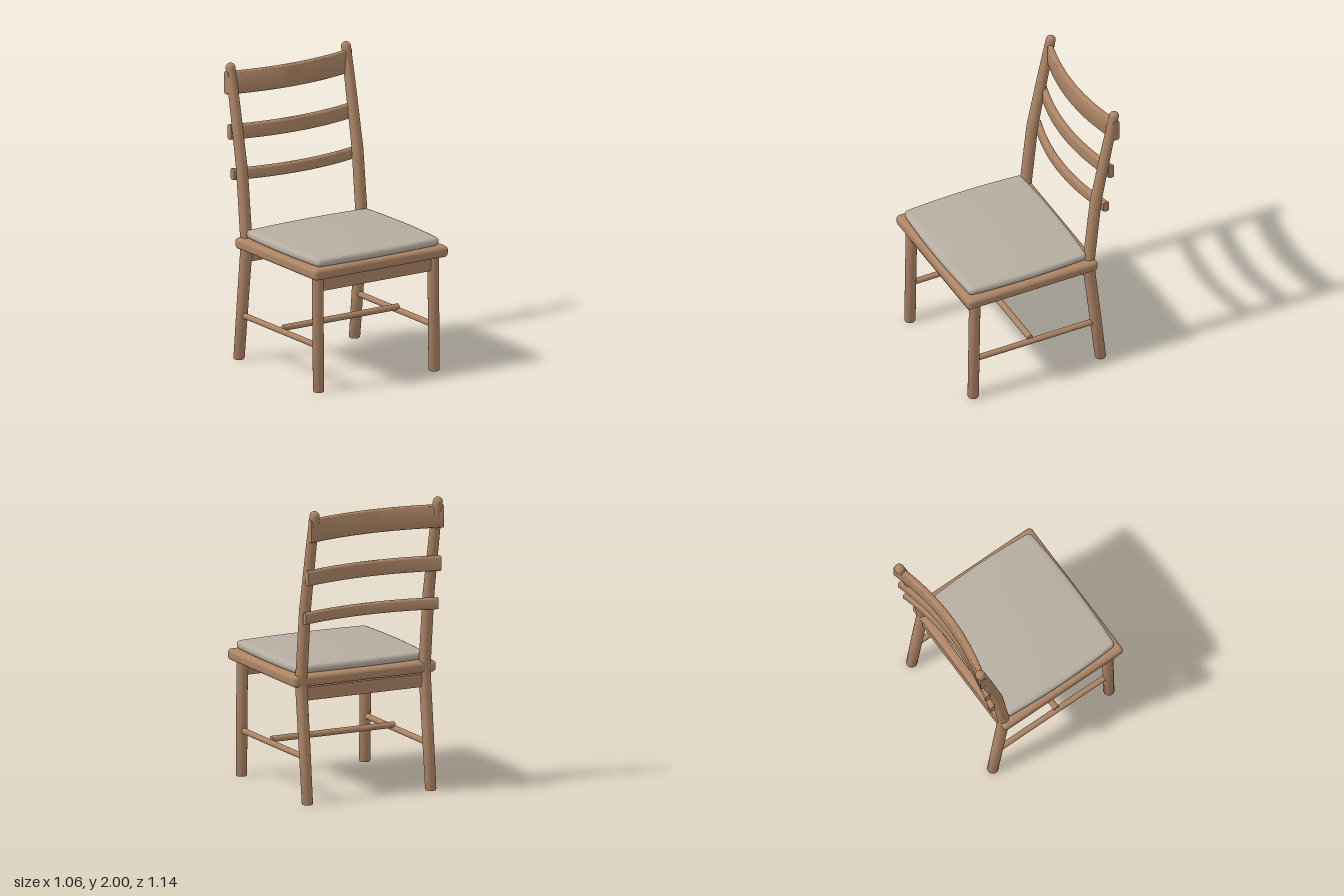
import * as THREE from 'three';
import { mergeVertices, toCreasedNormals } from 'three/addons/utils/BufferGeometryUtils.js';
import { RoundedBoxGeometry } from 'three/addons/geometries/RoundedBoxGeometry.js';

const wood = new THREE.MeshStandardMaterial({ color: 0xab8464 });
wood.name = 'wood';
const fabric = new THREE.MeshStandardMaterial({ color: 0xb6ada1 });
fabric.name = 'cushion fabric';

// Move every vertex of a geometry by a rule
function warp(geometry, rule) {
  const p = geometry.attributes.position;
  const v = new THREE.Vector3();
  for (let i = 0; i < p.count; i++) {
    rule(v.fromBufferAttribute(p, i));
    p.setXYZ(i, v.x, v.y, v.z);
  }
  return geometry;
}

// Turned post whose centre line leans in z; stations are [y, z, radius]
function turnedPost(stations, domed) {
  const at = (y, k) => {
    let i = 1;
    while (i < stations.length - 1 && y > stations[i][0]) i++;
    const a = stations[i - 1], b = stations[i];
    return a[k] + (b[k] - a[k]) * (y - a[0]) / (b[0] - a[0]);
  };
  const top = stations[stations.length - 1];
  const profile = [new THREE.Vector2(0, 0), new THREE.Vector2(0.034, 0)];
  for (const [y, , r] of stations) profile.push(new THREE.Vector2(r, Math.max(y, 0.008)));
  if (domed) {
    for (let i = 1; i <= 8; i++) {
      const a = i / 8 * Math.PI / 2;
      profile.push(new THREE.Vector2(i === 8 ? 0 : top[2] * Math.cos(a), top[0] + top[2] * Math.sin(a)));
    }
  } else profile.push(new THREE.Vector2(0, top[0]));
  const g = new THREE.LatheGeometry(profile, 28);
  warp(g, v => { v.z += at(Math.min(v.y, top[0]), 1); });
  return toCreasedNormals(g, 0.7);
}

// Rounded slat running along x, bowed forward in the middle
function bowedSlat(height, thick, halfLength, sag) {
  const w = thick / 2, h = height / 2, r = 0.015;
  const s = new THREE.Shape();
  s.moveTo(-w + r, -h);
  s.lineTo(w - r, -h);
  s.absarc(w - r, -h + r, r, -Math.PI / 2, 0);
  s.absarc(w - r, h - r, r, 0, Math.PI / 2);
  s.absarc(-w + r, h - r, r, Math.PI / 2, Math.PI);
  s.absarc(-w + r, -h + r, r, Math.PI, Math.PI * 1.5);
  const g = new THREE.ExtrudeGeometry(s, { depth: halfLength * 2, steps: 24, bevelEnabled: false, curveSegments: 5 });
  g.translate(0, 0, -halfLength).rotateY(Math.PI / 2);
  warp(g, v => { v.z -= sag * (v.x / halfLength) ** 2; });
  return toCreasedNormals(g, 0.6);
}

// Soft pad: rounded box with swollen sides and a domed top
function cushionGeometry() {
  const hx = 0.482, hy = 0.029, hz = 0.432, r = 0.028;
  const g = new THREE.BoxGeometry(2, 2, 2, 28, 8, 28);
  const inner = new THREE.Vector3(hx - r, hy - r, hz - r);
  const core = new THREE.Vector3();
  const ease = t => Math.sin(t * Math.PI / 2);
  warp(g, v => {
    v.set(ease(v.x) * hx, ease(v.y) * hy, ease(v.z) * hz);
    core.copy(v).clamp(inner.clone().negate(), inner);
    v.sub(core).setLength(r).add(core);
    const u = 1 - (v.x / hx) ** 2, w = 1 - (v.z / hz) ** 2;
    v.x *= 1 + 0.038 * w;
    v.z *= 1 + 0.042 * u;
    if (v.y > 0) v.y += 0.024 * u * w;
  });
  g.deleteAttribute('uv');
  g.deleteAttribute('normal');
  const m = mergeVertices(g, 1e-5);
  m.computeVertexNormals();
  return m;
}

export function createModel() {
  const chair = new THREE.Group();
  chair.name = 'chair';
  const add = (name, geometry, x, y, z, material = wood) => {
    const mesh = new THREE.Mesh(geometry, material);
    mesh.name = name;
    mesh.position.set(x, y, z);
    chair.add(mesh);
    return mesh;
  };

  // Seat frame and cushion
  add('seatFrame', new RoundedBoxGeometry(1.06, 0.076, 0.96, 5, 0.026), 0, 0.816, 0.093);
  add('cushion', cushionGeometry(), 0, 0.883, 0.105, fabric);

  // Legs, back posts and side stretchers, mirrored
  const frontLeg = turnedPost([[0, 0.502, 0.037], [0.8, 0.49, 0.038]], false);
  const backPost = turnedPost([
    [0, -0.437, 0.037], [0.4, -0.393, 0.039], [0.74, -0.354, 0.04], [0.8, -0.349, 0.04],
    [0.86, -0.354, 0.04], [1.26, -0.397, 0.039], [1.32, -0.405, 0.039], [1.38, -0.417, 0.038],
    [1.7, -0.481, 0.036], [1.967, -0.537, 0.033]], true);
  const sideBar = new THREE.CylinderGeometry(0.02, 0.02, 0.9, 20).rotateX(Math.PI / 2);
  for (const [side, s] of [['left', 1], ['right', -1]]) {
    add(side + 'FrontLeg', frontLeg, s * 0.457, 0, 0);
    add(side + 'BackPost', backPost, s * 0.457, 0, 0);
    add(side + 'Stretcher', sideBar, s * 0.457, 0.309, 0.047);
  }

  // Cross stretcher joining the side stretchers
  add('crossStretcher', new THREE.CylinderGeometry(0.021, 0.021, 0.91, 20).rotateZ(Math.PI / 2), 0, 0.334, 0.08);

  // Aprons under the seat
  const apron = new THREE.BoxGeometry(0.9, 0.088, 0.042);
  add('frontApron', apron, 0, 0.729, 0.49);
  add('backApron', apron, 0, 0.729, -0.355);

  // Back slats: [name, centre y, height, centre z]
  for (const [name, y, h, z] of [
    ['topSlat', 1.867, 0.156, -0.464],
    ['middleSlat', 1.54, 0.102, -0.426],
    ['lowerSlat', 1.261, 0.078, -0.388]]) {
    add(name, bowedSlat(h, 0.042, 0.492, 0.074), 0, y, z);
  }
  return chair;
}
